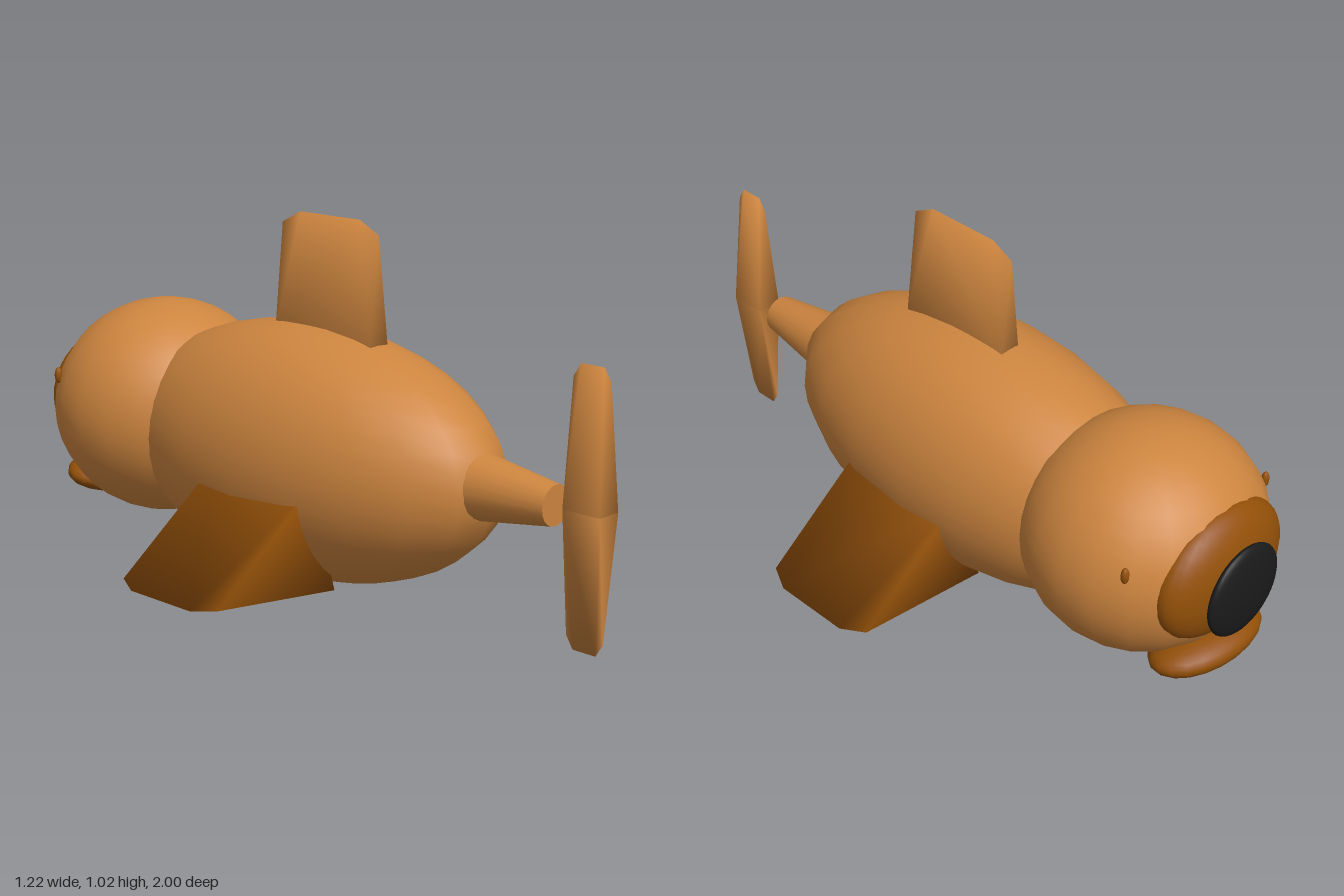
import * as THREE from 'three';

const mat = (name, color, extra) => {
  const m = new THREE.MeshStandardMaterial({ color, ...extra });
  m.name = name;
  return m;
};

// Wedge along +y: rectangular base at y = 0, thin ridge with clipped corners at y = height.
function wedgeGeometry(left, right, height, z0, z1, clip) {
  const inset = (z1 - z0) * 0.19;
  const p = [
    left, 0, z0, right, 0, z0, right, 0, z1, left, 0, z1,
    0, height - clip, z0, 0, height, z0 + inset, 0, height, z1 - inset, 0, height - clip, z1,
  ];
  const faces = [
    0, 1, 2, 0, 2, 3, // base
    0, 4, 1, 2, 7, 3, // ends
    1, 4, 5, 1, 5, 6, 1, 6, 2, 2, 6, 7, // right side
    0, 5, 4, 0, 6, 5, 0, 3, 6, 3, 7, 6, // left side
  ];
  const g = new THREE.BufferGeometry();
  g.setAttribute('position', new THREE.Float32BufferAttribute(p, 3));
  g.setIndex(faces);
  g.computeVertexNormals();
  return g;
}

export function createModel() {
  const model = new THREE.Group();
  model.name = 'propellerCreature';
  const tan = mat('tan', 0xcd853f);
  const brown = mat('brown', 0x935008);
  const black = mat('black', 0x1a1a1a);

  const add = (name, geometry, material, x = 0, y = 0, z = 0, parent = model) => {
    const mesh = new THREE.Mesh(geometry, material);
    mesh.name = name;
    mesh.position.set(x, y, z);
    parent.add(mesh);
    return mesh;
  };
  const ellipsoid = (rx, ry, rz, w = 20, h = 20) =>
    new THREE.SphereGeometry(1, w, h).scale(rx, ry, rz);

  // Body and head (the head points to -z)
  add('body', ellipsoid(0.32, 0.36, 0.67), tan, 0, 0.37, -0.03);
  add('head', ellipsoid(0.34, 0.32, 0.33), tan, 0, 0.398, -0.64);

  // Face
  add('muzzle', ellipsoid(0.23, 0.19, 0.09, 28, 20), brown, 0, 0.41, -0.885);
  add('nose', ellipsoid(0.135, 0.135, 0.03, 28, 20), black, 0, 0.385, -0.97);
  add('jaw', ellipsoid(0.19, 0.06, 0.115), brown, 0, 0.158, -0.865).rotation.x = 0.2;
  for (const s of [1, -1]) {
    add(s > 0 ? 'leftEye' : 'rightEye', ellipsoid(0.012, 0.024, 0.011, 10, 8), brown, s * 0.277, 0.5, -0.81);
  }

  // Tail cone and two-bladed propeller
  const cone = new THREE.CylinderGeometry(0.055, 0.093, 0.26, 20).rotateX(Math.PI / 2);
  add('tailCone', cone, tan, 0, 0.383, 0.71);
  const propeller = new THREE.Group();
  propeller.name = 'propeller';
  propeller.position.set(0, 0.388, 0.942);
  model.add(propeller);
  add('upperBlade', wedgeGeometry(-0.03, 0.045, 0.372, -0.058, 0.058, 0.035), tan, 0, 0, 0, propeller);
  add('lowerBlade', wedgeGeometry(-0.045, 0.03, 0.372, -0.058, 0.058, 0.035), tan, 0, 0, 0, propeller)
    .rotation.z = Math.PI;

  // Back fin
  add('backFin', wedgeGeometry(-0.03, 0.037, 0.335, -0.14, 0.225, 0.035), tan, 0, 0.7, 0);

  // Side fins: broad wedges sloping down to a thin outer edge
  for (const s of [1, -1]) {
    const base = new THREE.Vector2(0.192, 0.197); // middle of the root
    const tip = new THREE.Vector2(0.61, 0.08);
    const span = tip.clone().sub(base);
    const g = wedgeGeometry(-0.16, 0.16, span.length(), -0.168, 0.208, 0.035);
    add(s > 0 ? 'leftFin' : 'rightFin', g, brown, s * base.x, base.y, 0)
      .rotation.z = s * (span.angle() - 2.5 * Math.PI);
  }
  return model;
}
